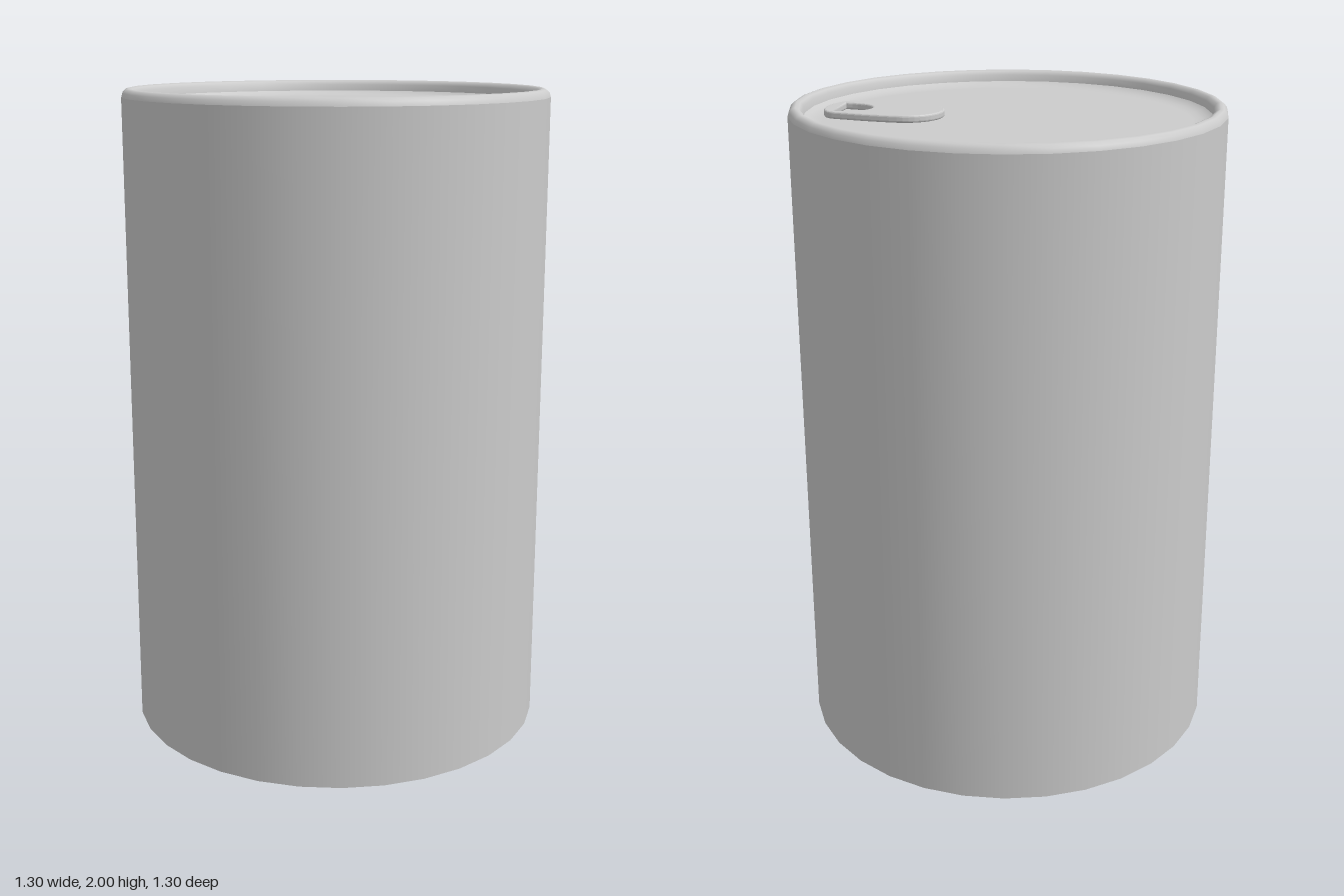
import * as THREE from 'three';

const SIDES = 32;

export function createModel() {
  const group = new THREE.Group();
  const material = new THREE.MeshStandardMaterial({ color: 0xcccccc });
  const add = (name, geometry) => {
    const mesh = new THREE.Mesh(geometry, material);
    mesh.name = name;
    group.add(mesh);
    return mesh;
  };
  const lathe = (points) =>
    new THREE.LatheGeometry(points.map(([r, y]) => new THREE.Vector2(r, y)), SIDES);

  // Straight wall and flat base
  add('canWall', lathe([[0.65, 0], [0.65, 1.975]]));
  add('canBase', new THREE.CircleGeometry(0.65, SIDES).rotateX(Math.PI / 2));

  // Rolled rim around the recessed lid
  add('rim', lathe([
    [0.65, 1.975], [0.646, 1.988], [0.637, 1.997], [0.627, 2],
    [0.616, 1.996], [0.609, 1.985], [0.606, 1.965],
  ]));
  add('lid', lathe([[0.606, 1.965], [0.595, 1.957], [0.575, 1.952], [0.55, 1.95], [0, 1.95]]));

  // Pull tab outline: wide round grip tapering to a blunt nose
  const zc = -0.033;
  const outline = new THREE.Shape();
  outline.moveTo(0.31, zc + 0.113);
  outline.absarc(0.303, zc, 0.113, Math.PI / 2, Math.PI * 1.5, false);
  outline.bezierCurveTo(0.38, zc - 0.113, 0.45, zc - 0.1, 0.51, zc - 0.09);
  outline.bezierCurveTo(0.57, zc - 0.08, 0.57, zc + 0.08, 0.51, zc + 0.112);
  outline.lineTo(0.31, zc + 0.113);

  // Finger hole and D-shaped nose hole
  const fingerHole = new THREE.Path();
  fingerHole.absellipse(0.294, zc, 0.094, 0.094, 0, Math.PI * 2, true);
  const noseHole = new THREE.Path();
  noseHole.moveTo(0.516, zc - 0.074);
  noseHole.bezierCurveTo(0.45, zc - 0.074, 0.412, zc - 0.035, 0.412, zc);
  noseHole.bezierCurveTo(0.412, zc + 0.035, 0.45, zc + 0.074, 0.516, zc + 0.074);
  noseHole.closePath();
  outline.holes.push(fingerHole, noseHole);

  const tab = new THREE.ExtrudeGeometry(outline, {
    depth: 0.01, curveSegments: 10,
    bevelEnabled: true, bevelThickness: 0.006, bevelSize: 0.006, bevelOffset: -0.006, bevelSegments: 3,
  });
  tab.rotateX(Math.PI / 2);
  add('pullTab', tab).position.y = 1.966;

  return group;
}
